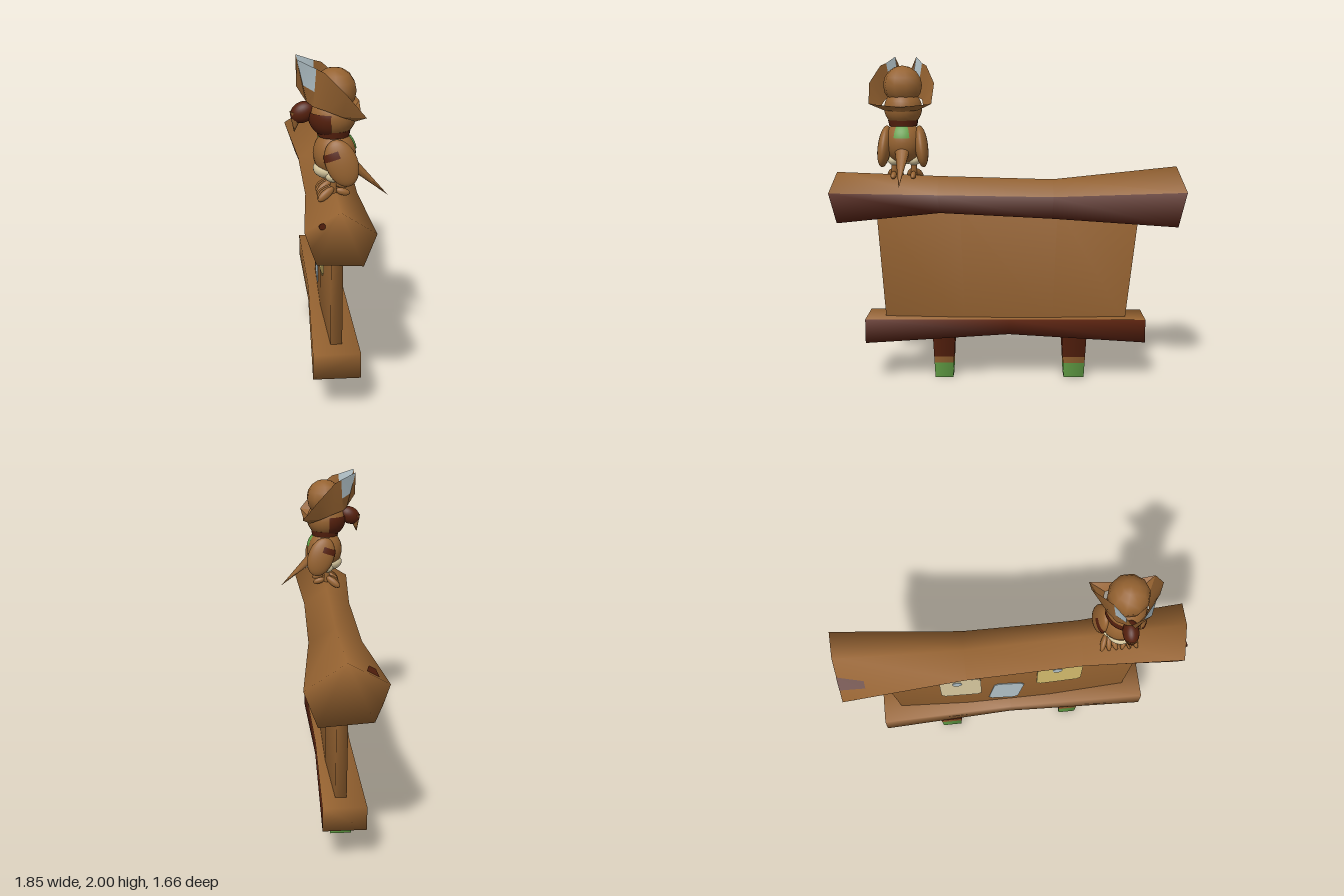
import * as THREE from 'three';
import { toCreasedNormals } from 'three/addons/utils/BufferGeometryUtils.js';

const mat = (name, color, side = THREE.FrontSide) => {
  const m = new THREE.MeshStandardMaterial({ color, side });
  m.name = name;
  return m;
};

export function createModel() {
  const wood = mat('wood', 0x966331, THREE.DoubleSide);
  const dark = mat('darkWood', 0x55200d);
  const moss = mat('moss', 0x63a046);
  const cream = mat('creamPaper', 0xdacaa0);
  const yellow = mat('yellowPaper', 0xd6be6e);
  const grey = mat('blueGrey', 0xb2c2c8, THREE.DoubleSide);

  const model = new THREE.Group();
  model.name = 'noticeBoard';
  const sign = new THREE.Group();
  sign.name = 'sign';
  sign.rotation.y = -40 * Math.PI / 180;
  model.add(sign);

  const add = (parent, name, geo, material, pos = [0, 0, 0], rot = [0, 0, 0], scale = [1, 1, 1]) => {
    const m = new THREE.Mesh(geo, material);
    m.name = name;
    m.position.set(...pos);
    m.rotation.set(...rot);
    m.scale.set(...scale);
    parent.add(m);
    return m;
  };

  // Smooth skin over cross-sections running along +x, with capped ends.
  // darkSides lists the sides that use the second material.
  function loft(rings, darkSides = []) {
    const n = rings[0].length, lists = [[], []];
    for (let i = 0; i < rings.length - 1; i++) {
      for (let j = 0; j < n; j++) {
        const k = (j + 1) % n, a = i * n, b = a + n;
        lists[darkSides.includes(j) ? 1 : 0].push(a + j, a + k, b + k, a + j, b + k, b + j);
      }
    }
    const end = (rings.length - 1) * n;
    for (let j = 1; j < n - 1; j++) lists[0].push(0, j + 1, j, end, end + j, end + j + 1);
    const g = new THREE.BufferGeometry();
    g.setAttribute('position', new THREE.Float32BufferAttribute(rings.flat(2), 3));
    g.setIndex(lists.flat());
    g.addGroup(0, lists[0].length, 0);
    g.addGroup(lists[0].length, lists[1].length, 1);
    g.computeVertexNormals();
    return g;
  }

  // Top log: five-sided, pinched in the middle, dark underneath and behind
  const logRing = ([x, skew, w, wb, top, side, bottom]) => {
    const at = (z, y, inset = 1) => [x * inset + skew * z, y, 0.035 + z];
    return [
      at(0, top), at(w, side), at((w + wb) / 2, (side + bottom) / 2),
      at(wb, bottom, 0.975), at(-wb, bottom, 0.975), at(-w, side),
    ];
  };
  const logRings = [
    [-1.03, 0.14, 0.225, 0.15, 1.335, 1.2, 0.98],
    [-0.27, 0, 0.157, 0.1, 1.255, 1.165, 1.025],
    [0.43, 0, 0.147, 0.1, 1.275, 1.175, 1.06],
    [1.055, -0.13, 0.182, 0.12, 1.3, 1.19, 1.0],
  ].map(logRing);
  add(sign, 'topLog', loft(logRings, [2, 3, 4]), [wood, dark]);

  // Dark knots on the log
  const knot = new THREE.BufferGeometry();
  const [p0, p1, q0, q1] = [logRings[0][0], logRings[0][1], logRings[1][0], logRings[1][1]]
    .map(p => new THREE.Vector3(...p));
  const onFacet = (s, t) => p0.clone().lerp(p1, t).lerp(q0.clone().lerp(q1, t), s)
    .add(new THREE.Vector3(0, 0.006, 0.004));
  knot.setFromPoints([onFacet(0, 0.42), onFacet(0, 0.72), onFacet(0.2, 0.76), onFacet(0.2, 0.58)]);
  knot.setIndex([0, 1, 2, 0, 2, 3]);
  knot.computeVertexNormals();
  add(sign, 'logKnot', knot, dark);
  add(sign, 'endKnot', new THREE.CylinderGeometry(0.018, 0.018, 0.006, 7), dark,
    [1.046, 1.225, 0.127], [0, 0.13, Math.PI / 2]);

  // Bottom beam: square, arched below, dark behind and underneath
  const beamRings = [
    [-0.845, 0.395, 0.25, 0.17, -0.08],
    [0, 0.395, 0.3, 0.15, -0.07],
    [0.885, 0.4, 0.25, 0.17, -0.095],
  ].map(([x, t, b, f, k]) => [[x, t, k], [x, t, f], [x, b, f], [x, b, k]]);
  add(sign, 'bottomBeam', loft(beamRings, [2, 3]), [wood, dark]);

  // Tapered board, thinner towards its ends
  const boardRings = [
    [-0.805, -0.725, 0.0, 0.065], [-0.3, -0.27, -0.025, 0.09],
    [0.3, 0.27, -0.025, 0.09], [0.815, 0.765, 0.0, 0.065],
  ].map(([xt, xb, k, f]) => [[xt, 1.08, k], [xt, 1.08, f], [xb, 0.36, f], [xb, 0.36, k]]);
  add(sign, 'board', loft(boardRings), [wood, dark]);

  // Posts in painted bands
  for (const [x, s] of [[-0.41, 1.05], [0.407, 0.94]]) {
    const post = new THREE.Group();
    post.name = 'post';
    post.position.set(x, 0, 0.055);
    sign.add(post);
    const half = y => (0.06 + 0.05 * y) * s * Math.SQRT2;
    for (const [name, y0, y1, m] of [
      ['postFoot', 0, 0.095, moss], ['postBand', 0.095, 0.135, wood], ['postTop', 0.135, 0.32, dark]]) {
      add(post, name, new THREE.CylinderGeometry(half(y1), half(y0), y1 - y0, 4), m,
        [0, (y0 + y1) / 2, 0], [0, Math.PI / 4, 0]);
    }
  }

  // Paper notes and pins
  function note(name, w, h, m, x, y, tilt, yaw) {
    const s = new THREE.Shape(), c = 0.025, a = w / 2, b = h / 2;
    s.moveTo(-a + c, -b).lineTo(a - c, -b).lineTo(a, -b + c).lineTo(a, b - c)
      .lineTo(a - c, b).lineTo(-a + c, b).lineTo(-a, b - c).lineTo(-a, -b + c);
    add(sign, name, new THREE.ExtrudeGeometry(s, { depth: 0.008, bevelEnabled: false }), m,
      [x, y, 0.087], [0, yaw, tilt]);
  }
  note('creamNote', 0.262, 0.295, cream, -0.315, 0.733, 0, -0.025);
  note('greyNote', 0.195, 0.275, grey, -0.022, 0.58, -0.17, 0);
  note('yellowNote', 0.287, 0.26, yellow, 0.317, 0.8, 0, 0.025);
  for (const [x, y] of [[-0.335, 0.815], [0.3, 0.888]]) {
    add(sign, 'pin', new THREE.CylinderGeometry(0.031, 0.031, 0.008, 10), grey, [x, y, 0.095], [Math.PI / 2, 0, 0]);
  }

  // Bird perched on the log, facing the board's front
  const bird = new THREE.Group();
  bird.name = 'bird';
  bird.position.set(0.643, 0, 0.035);
  sign.add(bird);
  const ball = new THREE.SphereGeometry(1, 24, 16);
  const blob = (name, m, pos, scale, rot) => add(bird, name, ball, m, pos, rot, scale);
  // Painted patch lying just over an ellipsoid, centred on angle mid (front is PI / 2)
  const patch = (name, m, pos, scale, mid, spread, th0, th1, rot) =>
    add(bird, name, new THREE.SphereGeometry(1.04, 16, 8, mid - spread, spread * 2, th0, th1 - th0), m, pos, rot, scale);

  const bodyPos = [0, 1.485, 0], bodySize = [0.115, 0.13, 0.115];
  blob('body', wood, bodyPos, bodySize);
  patch('backMoss', moss, bodyPos, bodySize, Math.PI * 1.5, 0.42, 0.75, 1.35);
  patch('throatMoss', moss, bodyPos, bodySize, Math.PI / 2, 0.25, 0.55, 0.85);
  blob('belly', cream, [0, 1.4, 0.03], [0.085, 0.055, 0.085]);

  // Head with a dark face band and collar
  const headPos = [0, 1.69, 0.01], headSize = [0.115, 0.115, 0.125];
  blob('head', wood, headPos, headSize);
  patch('faceBand', dark, headPos, headSize, Math.PI / 2, 1.45, 1.35, 2.5);
  add(bird, 'collar', new THREE.CylinderGeometry(0.092, 0.085, 0.035, 14), dark, [0, 1.6, 0.005]);

  // Hooked beak
  blob('beak', dark, [0, 1.71, 0.165], [0.045, 0.055, 0.07], [0.5, 0, 0]);
  add(bird, 'beakTip', new THREE.ConeGeometry(0.038, 0.11, 8), wood, [0, 1.655, 0.205], [3.0, 0, 0]);

  for (const s of [-1, 1]) {
    // Wing with a dark stripe, leg and three toes
    const wing = [[s * 0.112, 1.46, -0.03], [0.04, 0.13, 0.085]], tilt = [0.35, 0, s * 0.12];
    blob('wing', wood, ...wing, tilt);
    patch('wingStripe', dark, ...wing, s > 0 ? 2.45 : Math.PI - 2.45, 0.75, 1.0, 1.32, tilt);
    blob('thigh', cream, [s * 0.06, 1.375, 0.01], [0.04, 0.035, 0.045]);
    add(bird, 'leg', new THREE.CylinderGeometry(0.018, 0.02, 0.09, 7), wood, [s * 0.06, 1.325, 0.01]);
    for (const t of [-1, 0, 1]) {
      blob('toe', wood, [s * 0.06 + t * 0.03, 1.282, 0.052], [0.018, 0.024, 0.055], [0.65, t * 0.3, 0]);
    }
    blob('backToe', wood, [s * 0.06, 1.285, -0.04], [0.018, 0.02, 0.04], [-0.3, 0, 0]);
  }

  // Tail feathers sloping down behind
  add(bird, 'tail', new THREE.ConeGeometry(0.07, 0.36, 10), wood, [0, 1.36, -0.16], [Math.PI + 0.82, 0, 0], [0.8, 1, 0.6]);

  // Hat: rounded crown and a folded brim with two horns in front
  const hat = new THREE.Group();
  hat.name = 'hat';
  bird.add(hat);
  add(hat, 'crown', new THREE.SphereGeometry(0.118, 10, 8), wood, [0, 1.827, 0]);
  const rim = [[0, 1.85, 0.2], [0.066, 2.0, 0.196], [0.11, 1.96, 0.1], [0.14, 1.945, 0.06],
    [0.195, 1.84, -0.05], [0.185, 1.72, -0.15], [0, 1.7, -0.14]];
  const base = [[0, 1.77, 0.15], [0.03, 1.77, 0.145], [0.075, 1.755, 0.115], [0.112, 1.74, 0.05],
    [0.125, 1.71, -0.03], [0.1, 1.68, -0.1], [0, 1.67, -0.12]];
  const mix = (a, b, t) => a.map((v, i) => v + (b[i] - v) * t);
  const band = (i, t0, t1) => {
    const [a, b] = [mix(base[i], rim[i], t0), mix(base[i + 1], rim[i + 1], t0)];
    const [c, d] = [mix(base[i + 1], rim[i + 1], t1), mix(base[i], rim[i], t1)];
    return [a, b, c, a, c, d].flat();
  };
  const sheet = (name, values, m) => {
    for (const s of [1, -1]) {
      const pts = [];
      for (let i = 0; i < values.length; i += 9) {
        const tri = [0, 1, 2].map(k => values.slice(i + k * 3, i + k * 3 + 3));
        if (s < 0) tri.reverse();
        tri.forEach(([x, y, z]) => pts.push(s * x, y, z));
      }
      const g = new THREE.BufferGeometry();
      g.setAttribute('position', new THREE.Float32BufferAttribute(pts, 3));
      add(hat, name, toCreasedNormals(g, 0.5), m);
    }
  };
  const brown = [];
  for (let i = 0; i < rim.length - 1; i++) brown.push(...band(i, 0, i === 1 ? 0.4 : 1));
  sheet('brim', brown, wood);
  sheet('brimPanel', band(1, 0.4, 1), grey);

  return model;
}
